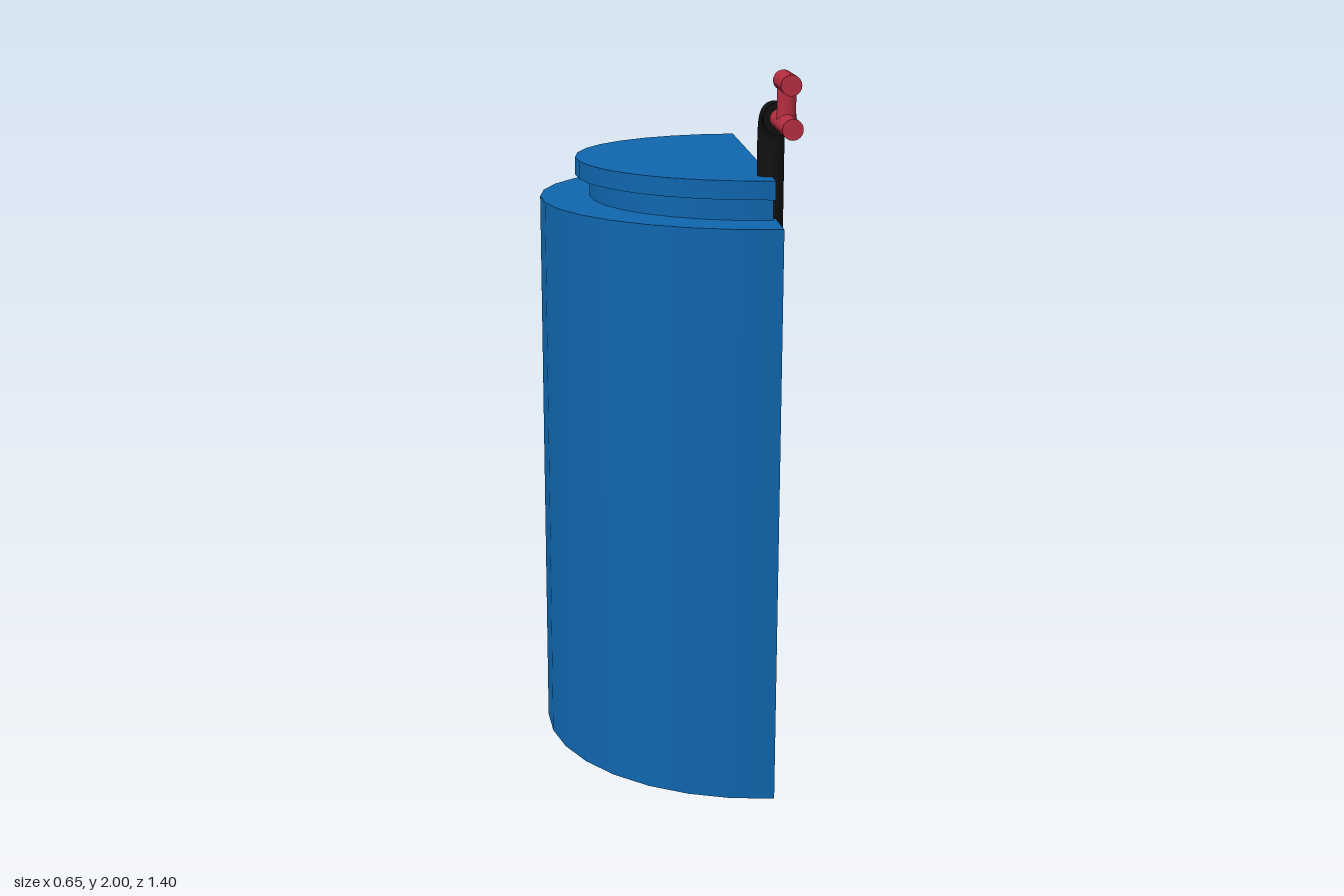
import * as THREE from 'three';

const mat = (color) => new THREE.MeshStandardMaterial({ color });
const blue = mat(0x0f66ae);
const yellow = mat(0xf2c122);
const black = mat(0x111111);
black.side = THREE.DoubleSide;
const red = mat(0xb52d40);

const AXIS_Z = -0.095;

function add(parent, name, geometry, material, x = 0, y = 0, z = 0) {
  const mesh = new THREE.Mesh(geometry, material);
  mesh.name = name;
  mesh.position.set(x, y, z);
  parent.add(mesh);
  return mesh;
}

// Half cylinder bulging towards -x, closed by a flat cut face at x
function halfDrum(parent, name, x, r, depth, y0, y1, cutMaterial) {
  const part = new THREE.Group();
  part.name = name;
  part.position.set(x, (y0 + y1) / 2, AXIS_Z);
  const h = y1 - y0;
  const shell = add(part, name + 'Shell',
    new THREE.CylinderGeometry(r, r, h, 16, 1, false, Math.PI, Math.PI), blue);
  shell.scale.x = depth / r;
  add(part, name + 'CutFace', new THREE.PlaneGeometry(2 * r, h).rotateY(Math.PI / 2), cutMaterial);
  parent.add(part);
}

// Cylinder lying along z
const rodZ = (r, length, sides = 24) =>
  new THREE.CylinderGeometry(r, r, length, sides).rotateX(Math.PI / 2);

export function createModel() {
  const model = new THREE.Group();
  model.name = 'halfBarrelWithTap';

  // Barrel body: two halves with a narrow band between, then neck and lid
  halfDrum(model, 'lowerBarrel', 0.29, 0.605, 0.615, 0, 0.918, yellow);
  halfDrum(model, 'middleBand', 0.29, 0.605, 0.615, 0.918, 0.935, blue);
  halfDrum(model, 'upperBarrel', 0.29, 0.605, 0.615, 0.935, 1.595, yellow);
  halfDrum(model, 'neck', 0.28, 0.465, 0.465, 1.595, 1.655, blue);
  halfDrum(model, 'lid', 0.28, 0.505, 0.505, 1.655, 1.705, blue);

  // Dip pipe: straight rise, rounded elbow, short run forward
  const px = 0.279, pz = 0.303, py = 1.872, bend = 0.07;
  const path = new THREE.CurvePath();
  const v = (y, z) => new THREE.Vector3(px, y, z);
  path.add(new THREE.LineCurve3(v(0.935, pz), v(py - bend, pz)));
  path.add(new THREE.CubicBezierCurve3(
    v(py - bend, pz), v(py - bend * 0.45, pz), v(py, pz + bend * 0.45), v(py, pz + bend)));
  path.add(new THREE.LineCurve3(v(py, pz + bend), v(py, 0.465)));
  add(model, 'pipe', new THREE.TubeGeometry(path, 120, 0.036, 24), black);
  add(model, 'pipeFlange', rodZ(0.043, 0.01), black, px, py, 0.465);

  // Tap: spout, stem and handle
  const tap = new THREE.Group();
  tap.name = 'tap';
  add(tap, 'spout', rodZ(0.026, 0.237), red, px, py, 0.5865);
  add(tap, 'stem', new THREE.CylinderGeometry(0.024, 0.024, 0.105, 24), red, px, 1.9225, 0.584);
  add(tap, 'handle', rodZ(0.026, 0.147), red, px, 1.974, 0.593);
  model.add(tap);

  return model;
}
